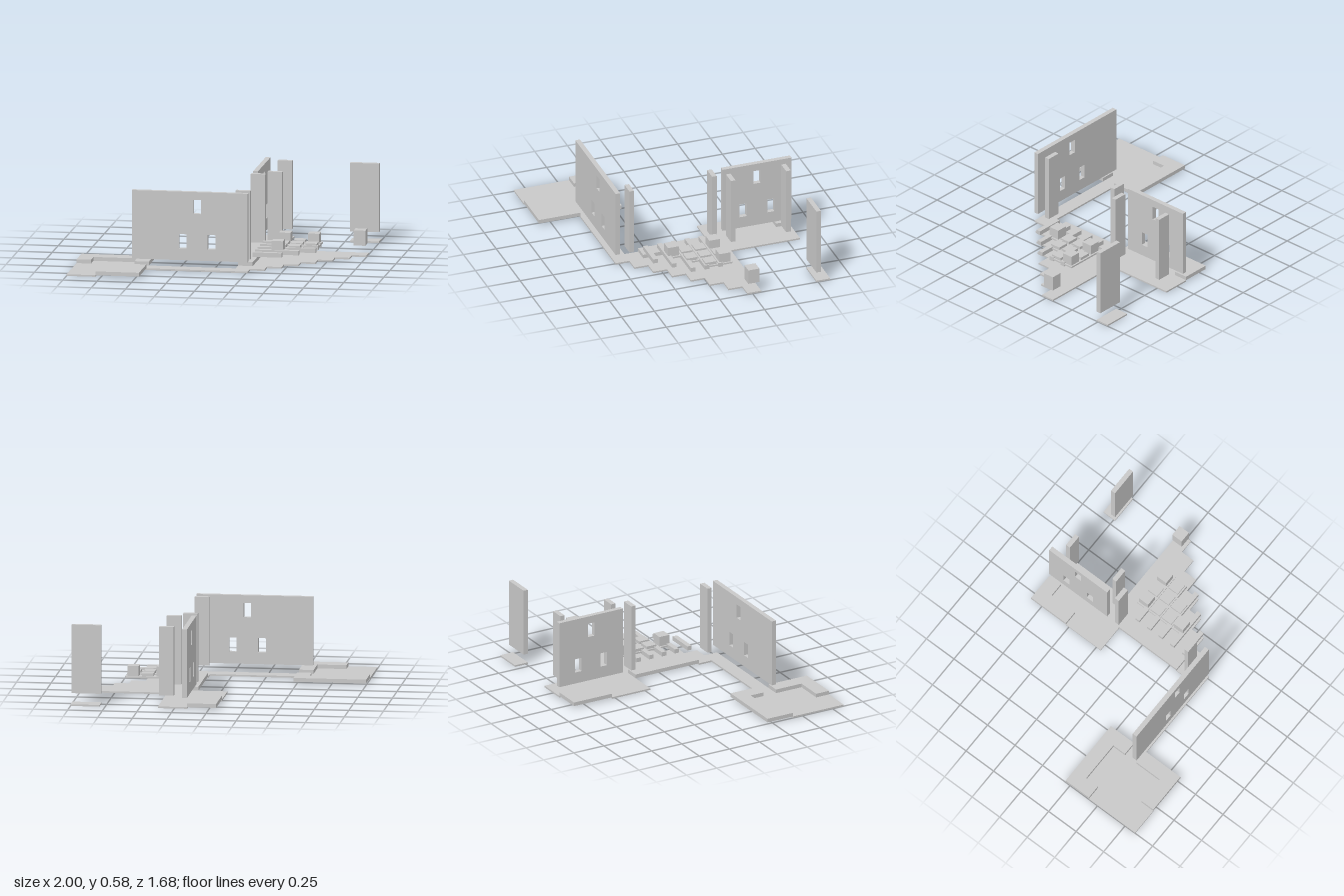
import * as THREE from 'three';

// The plan lies on a square grid: 19 cells along x, 16 along z
const U = 2 / 19;
const X = i => -1 + i * U;
const Z = j => (j - 8) * U;
const FLOOR = 0.012, KERB = 0.04, WALL_Y = 0.08, WALL_TOP = 0.58;
const T = 1 / 3; // wall and beam thickness in cells

export function createModel() {
  const model = new THREE.Group();
  const stone = new THREE.MeshStandardMaterial({ color: 0xc8c8c8 });
  stone.name = 'light grey';

  const add = (name, geo) => {
    const mesh = new THREE.Mesh(geo, stone);
    mesh.name = name;
    model.add(mesh);
    return mesh;
  };

  // Box spanning grid cells i0..i1, j0..j1 and heights y0..y1
  const block = (name, i0, i1, j0, j1, y0, y1) => {
    const geo = new THREE.BoxGeometry((i1 - i0) * U, y1 - y0, (j1 - j0) * U);
    add(name, geo).position.set((X(i0) + X(i1)) / 2, (y0 + y1) / 2, (Z(j0) + Z(j1)) / 2);
  };

  // Flat slab with a plan outline given in grid cells
  const slab = (name, outline, y0, y1) => {
    const shape = new THREE.Shape(outline.map(([i, j]) => new THREE.Vector2(X(i), Z(j))));
    const geo = new THREE.ExtrudeGeometry(shape, { depth: y1 - y0, bevelEnabled: false });
    geo.rotateX(Math.PI / 2);
    add(name, geo).position.y = y1;
  };

  // Upright wall with three window openings, one high between two low
  const windowWall = (name, a0, a1, mid, at) => {
    const rect = (path, x0, x1, y0, y1) => {
      path.moveTo(x0, y0);
      path.lineTo(x1, y0);
      path.lineTo(x1, y1);
      path.lineTo(x0, y1);
      path.closePath();
      return path;
    };
    const shape = rect(new THREE.Shape(), at(a0), at(a1), WALL_Y, WALL_TOP);
    for (const [c, y] of [[mid - 1, 0.166], [mid, 0.42], [mid + 1, 0.166]]) {
      shape.holes.push(rect(new THREE.Path(), at(c - 0.26), at(c + 0.26), y, y + 0.104));
    }
    return add(name, new THREE.ExtrudeGeometry(shape, { depth: U * T, bevelEnabled: false }));
  };

  // Floors
  slab('leftTerraceFloor', [[0, 12], [1, 12], [1, 11], [4, 11], [4, 12], [5, 12], [5, 13],
    [4, 13], [4, 15], [2, 15], [2, 16], [0, 16]], 0, FLOOR);
  block('pathFloor', 5, 11, 12, 13, 0, FLOOR);
  const stair = [[12, 5], [19, 5]];
  for (let k = 0; k < 8; k++) {
    stair.push([19 - k, 6 + k]);
    if (k < 7) stair.push([18 - k, 6 + k]);
  }
  stair.push([11, 13], [11, 11], [12, 11]);
  slab('steppedFloor', stair, 0, FLOOR);
  slab('backTerraceFloor', [[11, 0], [13, 0], [13, 5], [12, 5], [12, 6], [9, 6], [9, 3],
    [10, 3], [10, 1], [11, 1]], 0, FLOOR);
  block('cornerFloor', 17, 19, 0, 1, 0, FLOOR);

  // Raised kerbs
  slab('leftTerraceBackKerb', [[0, 10], [5, 10], [5, 12], [4, 12], [4, 11], [1, 11], [1, 12],
    [0, 12]], FLOOR, KERB);
  slab('leftTerraceFrontKerb', [[4, 13], [5, 13], [5, 16], [2, 16], [2, 15], [4, 15]], FLOOR, KERB);
  slab('backTerraceKerb', [[9, 0], [11, 0], [11, 1], [10, 1], [10, 3], [9, 3]], FLOOR, KERB);
  block('raisedWalkway', 11, 12, 6, 11, FLOOR, KERB);

  // Walls with windows
  windowWall('frontWall', 4, 12, 8.5, X).position.z = Z(13 - T);
  const side = windowWall('sideWall', 0, 5, 2.5, Z);
  side.rotation.y = -Math.PI / 2;
  side.position.x = X(11 + T);

  // Plain wall panels: [first column, last column, front edge row]
  for (const [i0, i1, j] of [[11, 12, 12], [11, 12, 6], [12, 13, 5], [12, 13, 1], [17, 19, 1]]) {
    block('wallPanel', i0, i1, j - T, j, WALL_Y, WALL_TOP);
  }

  // Parallel beams, shorter towards the front
  [16, 16, 16, 15, 14].forEach((end, k) => {
    block('beam', 12, end, 7 + k - T, 7 + k, WALL_Y, 0.112);
  });

  // Thin deck rows carrying flat tiles, with cubes at the three corners
  const tall = ['0,0', '0,2', '3,0'];
  [3, 3, 2, 1].forEach((count, r) => {
    block('deck', 13, 13 + count, 6 + r, 7 + r, 0.092, 0.104);
    for (let c = 0; c < count; c++) {
      const cube = tall.includes(`${r},${c}`);
      block(cube ? 'cube' : 'tile', 13.11 + c, 13.89 + c, 6.11 + r, 6.89 + r,
        0.104, cube ? 0.177 : 0.125);
    }
  });
  block('cornerCube', 18.1, 18.9, 5.1, 5.9, WALL_Y, 0.19);

  return model;
}
